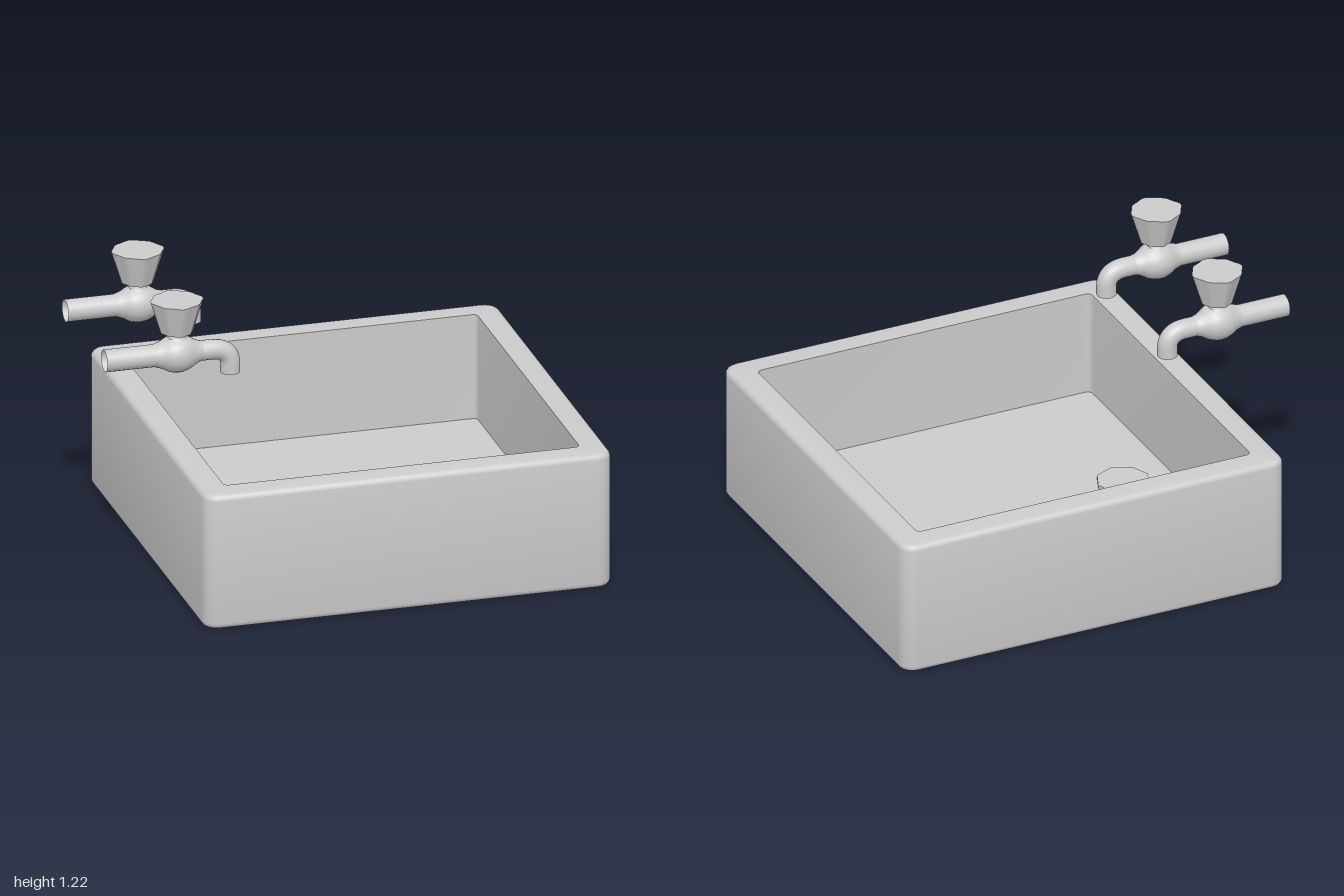
import * as THREE from 'three';
import { toCreasedNormals } from 'three/addons/utils/BufferGeometryUtils.js';

const material = new THREE.MeshStandardMaterial({ color: 0xcccccc });
const openMaterial = new THREE.MeshStandardMaterial({ color: 0xcccccc, side: THREE.DoubleSide });

function add(parent, name, geometry, mat = material) {
  const mesh = new THREE.Mesh(geometry, mat);
  mesh.name = name;
  parent.add(mesh);
  return mesh;
}

// Joins closed rings of points, listed from the lowest outside ring onwards
function loft(rings, crease) {
  const n = rings[0].length;
  const index = [];
  for (let i = 0; i < rings.length - 1; i++) {
    for (let j = 0; j < n; j++) {
      const a = i * n + j, b = i * n + (j + 1) % n;
      index.push(a, a + n, b, b, a + n, b + n);
    }
  }
  const geometry = new THREE.BufferGeometry();
  geometry.setAttribute('position', new THREE.Float32BufferAttribute(rings.flat(2), 3));
  geometry.setIndex(index);
  return toCreasedNormals(geometry, crease);
}

// Rounded rectangle at height y
function rectRing(hx, hz, r, y) {
  const points = [];
  const steps = 5;
  [[1, 1], [-1, 1], [-1, -1], [1, -1]].forEach(([sx, sz], corner) => {
    for (let i = 0; i <= steps; i++) {
      const t = (corner + i / steps) * Math.PI / 2;
      points.push([sx * (hx - r) + r * Math.cos(t), y, sz * (hz - r) + r * Math.sin(t)]);
    }
  });
  return points;
}

// Scalloped ring for the tap handle
function scallopRing(radius, y) {
  const points = [];
  for (let i = 0; i < 48; i++) {
    const t = i / 48 * Math.PI * 2;
    const r = radius * (0.94 + 0.03 * Math.cos(4 * t) + 0.03 * Math.cos(8 * t));
    points.push([r * Math.cos(t), y, r * Math.sin(t)]);
  }
  return points;
}

function createBasin() {
  const hx = 0.872, hz = 0.87, top = 0.59, floor = 0.13, bevel = 0.025;
  const rings = [rectRing(0, 0, 0, 0)];
  // rounded lower edge, then rounded upper edge
  for (const upper of [false, true]) {
    for (let i = 0; i <= 4; i++) {
      const t = (upper ? i : 4 - i) / 4 * Math.PI / 2;
      const inset = bevel * (1 - Math.cos(t));
      const rise = bevel * (1 - Math.sin(t));
      rings.push(rectRing(hx - inset, hz - inset, 0.065 - inset, upper ? top - rise : rise));
    }
  }
  // inner walls and floor
  rings.push(rectRing(0.76, 0.757, 0.022, top));
  rings.push(rectRing(0.76, 0.757, 0.022, floor));
  rings.push(rectRing(0, 0, 0, floor));
  const geometry = loft(rings, 0.7);
  geometry.translate(0.125, 0, 0);
  return geometry;
}

function createTap() {
  const tap = new THREE.Group();
  tap.name = 'tap';
  const y = 0.985, bodyX = -0.69;

  // supply pipe swelling into the valve body
  const profile = [[0.047, -1], [0.047, -0.79], [0.052, -0.775]];
  for (let i = 0; i <= 8; i++) {
    const t = (-0.75 + i / 8 * 1.5);
    profile.push([0.08 * Math.cos(t), bodyX + 0.095 * Math.sin(t)]);
  }
  profile.push([0.047, -0.605], [0.042, -0.585]);
  const pipe = new THREE.LatheGeometry(profile.map(([r, x]) => new THREE.Vector2(r, x)), 20);
  pipe.rotateZ(-Math.PI / 2);
  pipe.translate(0, y, 0);
  add(tap, 'pipeAndValveBody', pipe, openMaterial);

  // downturned spout
  const v = (px, py) => new THREE.Vector3(px, py, 0);
  const path = new THREE.CurvePath();
  path.add(new THREE.LineCurve3(v(-0.6, y), v(-0.54, y)));
  path.add(new THREE.CubicBezierCurve3(v(-0.54, y), v(-0.49, y), v(-0.463, 0.96), v(-0.463, 0.92)));
  path.add(new THREE.LineCurve3(v(-0.463, 0.92), v(-0.463, 0.88)));
  add(tap, 'spout', new THREE.TubeGeometry(path, 20, 0.042, 16), openMaterial);

  // flared neck under the handle
  const neck = new THREE.LatheGeometry(
    [[0.066, 1.02], [0.055, 1.04], [0.04, 1.055], [0.034, 1.07], [0.034, 1.09]]
      .map(([r, h]) => new THREE.Vector2(r, h)), 16);
  neck.translate(bodyX, 0, 0);
  add(tap, 'neck', neck);

  // scalloped handle, wider at the top
  const handle = loft([
    scallopRing(0, 1.08), scallopRing(0.068, 1.08),
    scallopRing(0.112, 1.22), scallopRing(0, 1.22),
  ], 0.35);
  handle.translate(bodyX, 0, 0);
  add(tap, 'handle', handle);
  return tap;
}

export function createModel() {
  const model = new THREE.Group();
  model.name = 'sinkWithTaps';
  add(model, 'basin', createBasin());

  // eight-sided drain cover on the basin floor
  const drain = new THREE.CylinderGeometry(0.113, 0.113, 0.03, 8);
  drain.rotateY(Math.PI / 2);
  drain.translate(-0.418, 0.13, 0);
  add(model, 'drain', toCreasedNormals(drain, 0.5));

  for (const z of [-0.325, 0.25]) {
    const tap = createTap();
    tap.position.z = z;
    model.add(tap);
  }
  return model;
}
